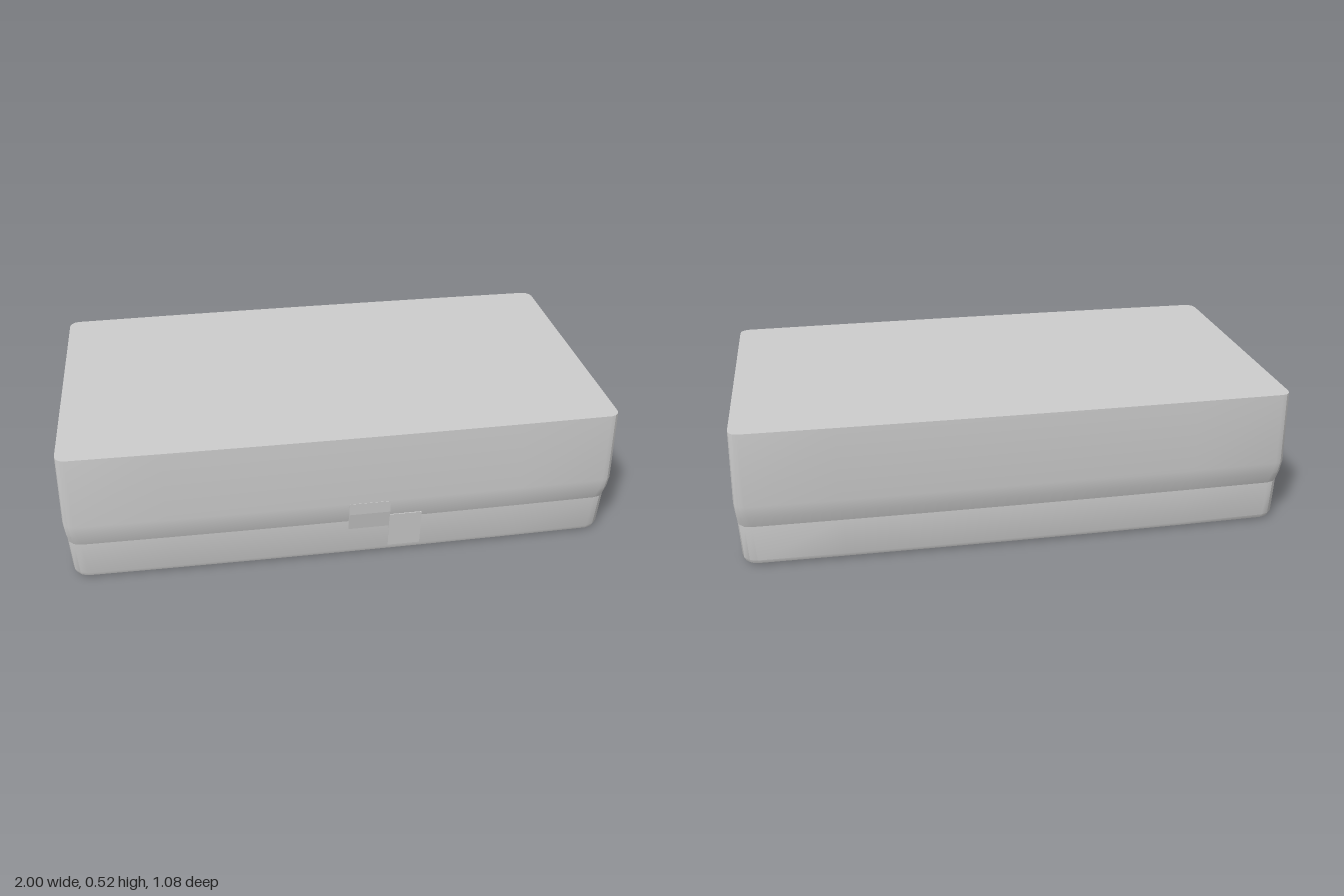
import * as THREE from 'three';
import { toCreasedNormals } from 'three/addons/utils/BufferGeometryUtils.js';

const material = new THREE.MeshStandardMaterial({ color: 0xcccccc });

// Rounded-rectangle outline with slightly bowed long sides
function outline({ y, x, front, back, r, bow = 0.008 }) {
  const pts = [];
  const corners = [[1, 1, 0], [-1, 1, 1], [-1, -1, 2], [1, -1, 3]];
  const bowed = (px, pz) => [px, y, pz + Math.sign(pz) * bow * (1 - px * px)];
  corners.forEach(([sx, sz, q]) => {
    const depth = sz > 0 ? front - bow : back - bow;
    for (let i = 0; i <= 3; i++) {
      const a = (q + i / 3) * Math.PI / 2;
      pts.push(bowed(sx * (x - r) + r * Math.cos(a), sz * (depth - r) + r * Math.sin(a)));
    }
    // Intermediate points along the front and back
    if (q === 0 || q === 2) {
      for (let i = 1; i < 6; i++) pts.push(bowed(sx * (x - r) * (1 - i / 3), sz * depth));
    }
  });
  return pts;
}

// Skin stacked outlines and close both ends
function loft(sections) {
  const rings = sections.map(outline);
  const n = rings[0].length;
  const index = [];
  for (let k = 0; k < rings.length - 1; k++) {
    for (let i = 0; i < n; i++) {
      const j = (i + 1) % n;
      const a = k * n + i, b = k * n + j;
      index.push(a, a + n, b, b, a + n, b + n);
    }
  }
  const low = rings.length * n, high = low + 1, last = (rings.length - 1) * n;
  for (let i = 0; i < n; i++) {
    const j = (i + 1) % n;
    index.push(low, i, j, high, last + j, last + i);
  }
  const points = [...rings.flat(), [0, sections[0].y, 0], [0, sections.at(-1).y, 0]];
  const g = new THREE.BufferGeometry();
  g.setAttribute('position', new THREE.Float32BufferAttribute(points.flat(), 3));
  g.setIndex(index);
  return toCreasedNormals(g, 0.5);
}

// Side profile extruded across x, for the front details
function frontPiece(name, x0, x1, profile) {
  const shape = new THREE.Shape(profile.map(([z, y]) => new THREE.Vector2(-z, y)));
  const g = new THREE.ExtrudeGeometry(shape, { depth: x1 - x0, bevelEnabled: false });
  g.rotateY(Math.PI / 2).translate(x0, 0, 0);
  const mesh = new THREE.Mesh(g, material);
  mesh.name = name;
  return mesh;
}

export function createModel() {
  const group = new THREE.Group();
  group.name = 'case';

  // Base tray with a rolled lower edge
  const base = new THREE.Mesh(loft([
    { y: 0.003, x: 0.965, front: 0.49, back: 0.49, r: 0.045 },
    { y: 0.01, x: 0.985, front: 0.506, back: 0.506, r: 0.05 },
    { y: 0.025, x: 0.992, front: 0.512, back: 0.513, r: 0.055 },
    { y: 0.16, x: 0.996, front: 0.517, back: 0.511, r: 0.05 },
  ]), material);
  base.name = 'baseTray';

  // Overhanging lid with a tapered underside
  const lid = new THREE.Mesh(loft([
    { y: 0.16, x: 0.996, front: 0.517, back: 0.511, r: 0.05 },
    { y: 0.205, x: 0.998, front: 0.533, back: 0.528, r: 0.045 },
    { y: 0.252, x: 1.0, front: 0.538, back: 0.536, r: 0.04 },
    { y: 0.525, x: 0.992, front: 0.531, back: 0.533, r: 0.035 },
  ]), material);
  lid.name = 'lid';

  // Slightly raised floor panel
  const floor = new THREE.Mesh(loft([
    { y: 0, x: 0.9, front: 0.43, back: 0.43, r: 0.03 },
    { y: 0.006, x: 0.905, front: 0.435, back: 0.435, r: 0.03 },
  ]), material);
  floor.name = 'floorPanel';

  // Latch bridging the step, beside a shallow finger rest below the lid
  const latch = frontPiece('latch', 0.01, 0.16,
    [[0.49, 0.125], [0.519, 0.125], [0.535, 0.2], [0.539, 0.25], [0.49, 0.25]]);
  const rest = frontPiece('fingerRest', 0.16, 0.28,
    [[0.49, 0.03], [0.513, 0.03], [0.527, 0.18], [0.49, 0.18]]);

  group.add(base, lid, floor, latch, rest);
  return group;
}
